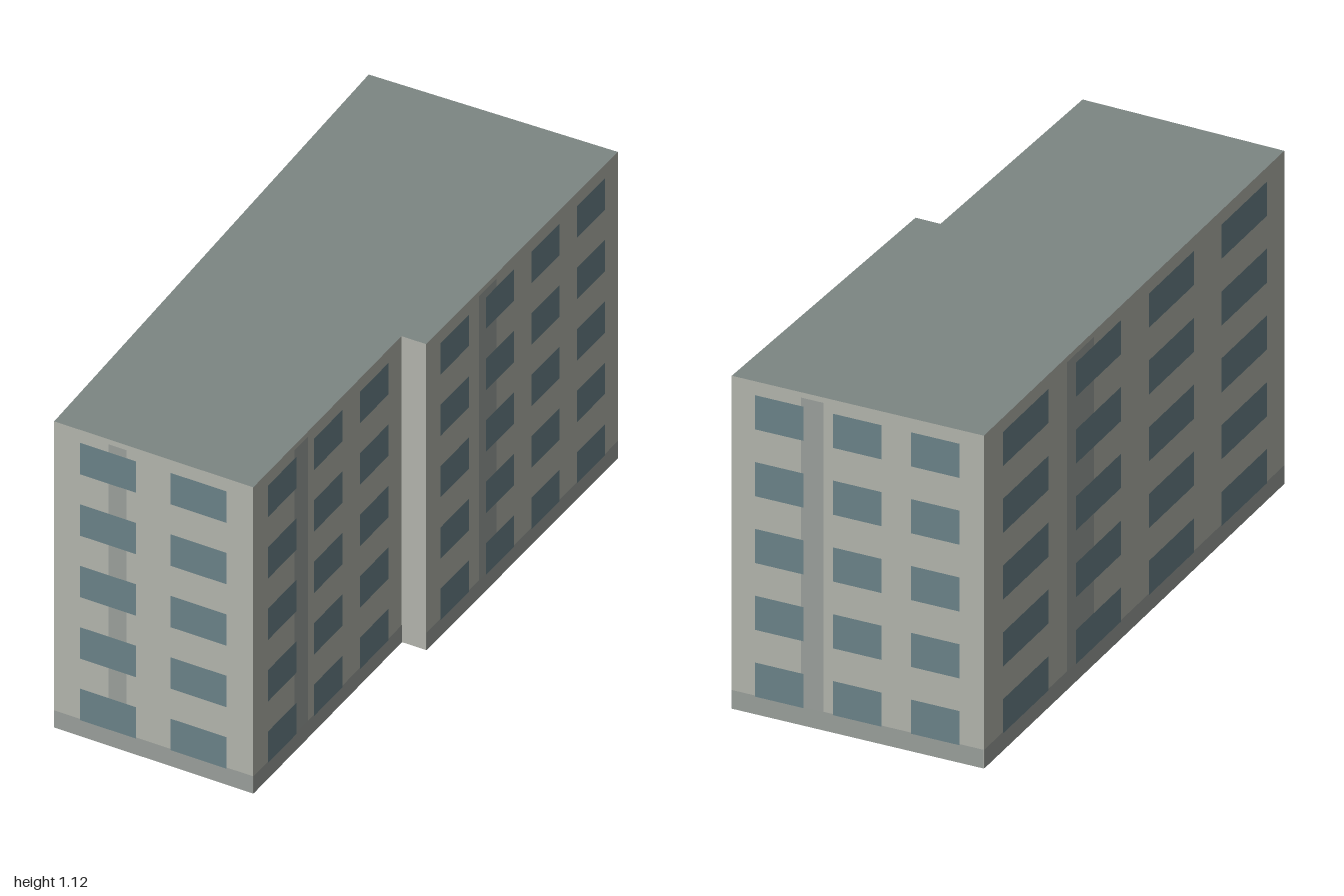
import * as THREE from 'three';

const HEIGHT = 1.12;
const FLOORS = 5;

const material = (color, side = THREE.FrontSide) =>
  new THREE.MeshStandardMaterial({ color, side });
const wallMat = material(0xb2b4ac, THREE.DoubleSide);
const roofMat = material(0x7d8683, THREE.DoubleSide);
const plinthMat = material(0x999e9a);
const stripMat = material(0x9a9f9b);
const windowMat = material(0x6a8288);

// Footprint corners [x, z] in order; each starts a wall with its name and number of window bays
const corners = [
  { at: [-0.39, 0.99], name: 'frontWall', bays: 2 },
  { at: [0.285, 0.995], name: 'rightFrontWall', bays: 3 },
  { at: [0.302, 0.12], name: 'stepWall', bays: 0 },
  { at: [0.385, 0.12], name: 'rightBackWall', bays: 4 },
  { at: [0.415, -0.997], name: 'backWall', bays: 3 },
  { at: [-0.417, -0.98], name: 'leftWall', bays: 4 },
];

// Upright rectangle spanning x0..x1 and y0..y1, lifted off the wall by z
function panel(name, mat, x0, x1, y0, y1, z = 0) {
  const mesh = new THREE.Mesh(new THREE.PlaneGeometry(x1 - x0, y1 - y0), mat);
  mesh.position.set((x0 + x1) / 2, (y0 + y1) / 2, z);
  mesh.name = name;
  return mesh;
}

// One facade from corner a to corner b, facing outward along its local z
function facade({ at: a, name, bays }, { at: b }) {
  const dx = b[0] - a[0], dz = b[1] - a[1];
  const length = Math.hypot(dx, dz);
  const group = new THREE.Group();
  group.name = name;
  group.position.set(a[0], 0, a[1]);
  group.rotation.y = -Math.atan2(dz, dx);
  group.add(panel('wall', wallMat, 0, length, 0, HEIGHT));
  if (!bays) return group;

  // Plinth band and vertical strip
  group.add(panel('plinth', plinthMat, 0, length, 0, 0.063, 0.0015));
  group.add(panel('verticalStrip', stripMat, length * 0.275, length * 0.365, 0.063, 1.103, 0.0015));

  // Window grid
  const margin = 0.03;
  const bay = (length - 2 * margin) / bays;
  for (let floor = 0; floor < FLOORS; floor++) {
    const y = 0.06 + floor * 0.225;
    for (let i = 0; i < bays; i++) {
      const x = margin + (i + 0.5) * bay;
      group.add(panel('window', windowMat, x - bay * 0.31, x + bay * 0.31, y, y + 0.115, 0.003));
    }
  }
  return group;
}

export function createModel() {
  const model = new THREE.Group();
  model.name = 'apartmentBlock';
  corners.forEach((c, i) => model.add(facade(c, corners[(i + 1) % corners.length])));

  // Flat roof over the footprint; the underside stays open
  const outline = new THREE.Shape(corners.map(({ at: [x, z] }) => new THREE.Vector2(x, -z)));
  const roof = new THREE.Mesh(new THREE.ShapeGeometry(outline), roofMat);
  roof.name = 'roof';
  roof.rotation.x = -Math.PI / 2;
  roof.position.y = HEIGHT;
  model.add(roof);
  return model;
}
